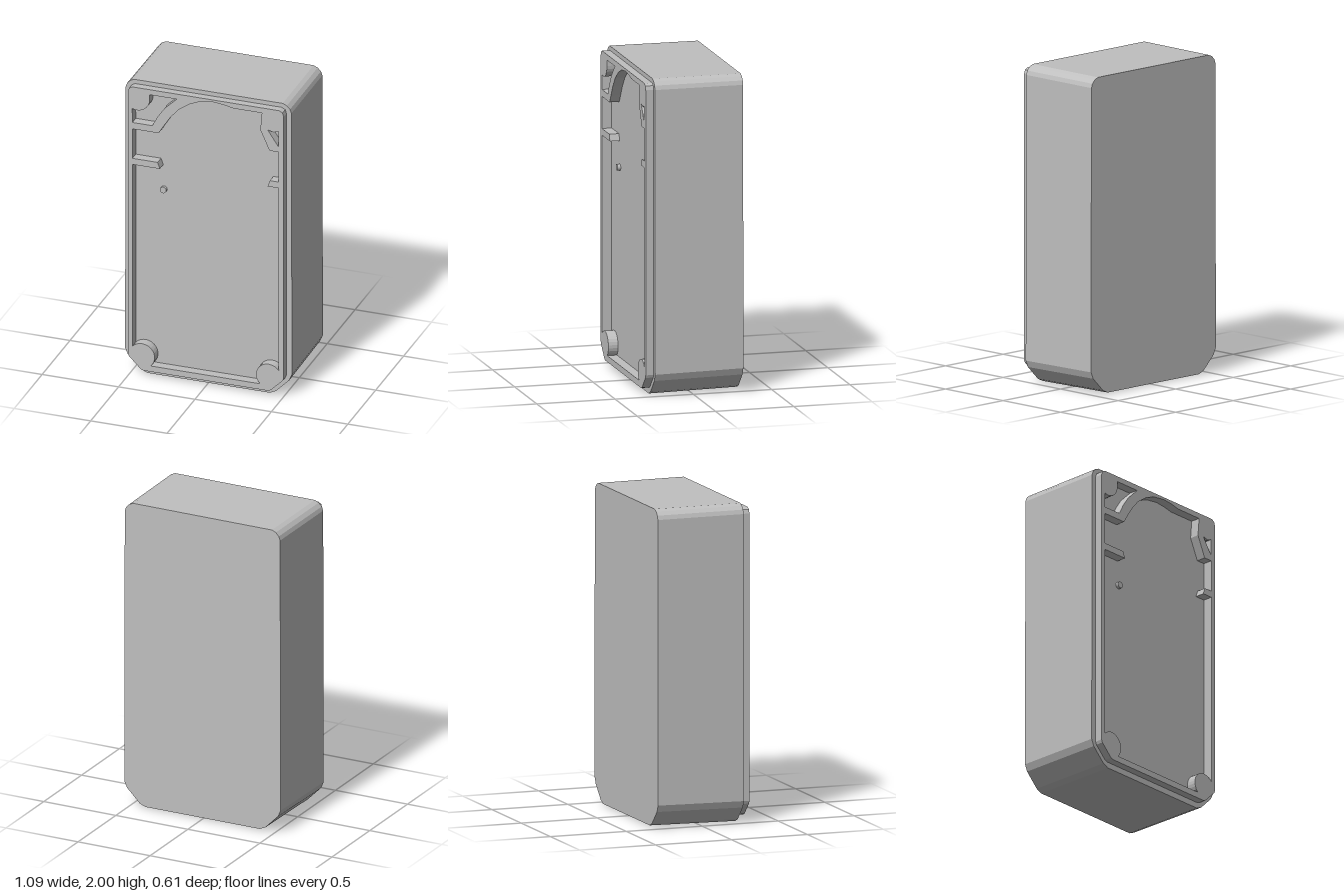
import * as THREE from 'three';

const BACK = -0.307, FLOOR = 0.245, SHOULDER = 0.257, FRONT = 0.307;
const pts = (list) => list.map(([x, y]) => new THREE.Vector2(x, y));

// Symmetric outline from the right half, listed from bottom to top
const mirrored = (half) => pts([...half, ...half.slice().reverse().map(([x, y]) => [-x, y])]);

// Points along an arc, angles in degrees
function arc(cx, cy, r, from, to, n = 10) {
  return Array.from({ length: n + 1 }, (_, i) => {
    const a = THREE.MathUtils.degToRad(from + (to - from) * i / n);
    return [cx + r * Math.cos(a), cy + r * Math.sin(a)];
  });
}

function slab(outline, holes, z0, z1) {
  const shape = new THREE.Shape(outline);
  shape.holes = holes.map((h) => new THREE.Path(h));
  const geo = new THREE.ExtrudeGeometry(shape, { depth: z1 - z0, bevelEnabled: false });
  return geo.translate(0, 0, z0);
}

export function createModel() {
  const group = new THREE.Group();
  const plastic = new THREE.MeshStandardMaterial({ color: 0xbfbfbf });
  plastic.name = 'light grey plastic';
  const add = (name, geo) => {
    const mesh = new THREE.Mesh(geo, plastic);
    mesh.name = name;
    group.add(mesh);
    return mesh;
  };

  // Outlines: chamfered lower corners, small rounded upper corners
  const outer = mirrored([
    [0.4, 0], [0.44, 0.018], [0.527, 0.105], [0.546, 0.148],
    [0.542, 1.94], [0.533, 1.966], [0.512, 1.988], [0.485, 2],
  ]);
  const lipOutline = mirrored([
    [0.405, 0.038], [0.425, 0.045], [0.503, 0.122], [0.51, 0.14],
    [0.51, 1.935], [0.502, 1.96], [0.48, 1.972],
  ]);

  // Main recess, going round the corner posts, ribs and curved top wall
  const recess = pts([
    [-0.355, 0.077], [0.355, 0.077],
    ...arc(0.412, 0.138, 0.083, 227, 35, 14), [0.477, 0.198],
    [0.477, 1.44], [0.405, 1.44], [0.42, 1.482], [0.477, 1.482],
    [0.477, 1.687], [0.417, 1.687], [0.357, 1.82], [0.367, 1.937], [0.18, 1.937],
    [0.12, 1.95], [0.05, 1.957], [-0.04, 1.945], [-0.11, 1.915], [-0.18, 1.865],
    [-0.235, 1.8], [-0.28, 1.73], [-0.308, 1.684], [-0.48, 1.684],
    [-0.48, 1.482], [-0.315, 1.482], [-0.3, 1.44], [-0.48, 1.44],
    [-0.48, 0.198], ...arc(-0.417, 0.138, 0.083, 140, -47, 14),
  ]);
  // Small pockets in the two upper corners
  const leftPocket = pts([
    [-0.48, 1.728], [-0.35, 1.728], [-0.315, 1.795], [-0.27, 1.86], [-0.19, 1.937],
    [-0.367, 1.937], ...arc(-0.45, 1.9, 0.083, 0, -112, 8),
  ]);
  const rightPocket = pts([[0.405, 1.828], [0.475, 1.724], [0.475, 1.83], [0.445, 1.817]]);
  const cavities = [recess, leftPocket, rightPocket];

  // Case body, drawn in very slightly towards the back
  const body = slab(outer, [], BACK, FLOOR);
  const p = body.attributes.position;
  for (let i = 0; i < p.count; i++) {
    if (p.getZ(i) > BACK + 0.01) continue;
    p.setX(i, p.getX(i) * 0.994);
    p.setY(i, 1.003 + (p.getY(i) - 1) * 0.995);
  }
  body.computeVertexNormals();
  add('caseBody', body);

  // Stepped front edge with the recess cut through it
  add('shoulder', slab(outer, cavities, FLOOR, SHOULDER));
  add('lipAndRibs', slab(lipOutline, cavities, SHOULDER, FRONT));

  // Small locating peg on the recess floor
  const peg = add('peg', new THREE.CylinderGeometry(0.021, 0.021, 0.02, 20));
  peg.rotation.x = Math.PI / 2;
  peg.position.set(-0.295, 1.275, FLOOR + 0.01);

  return group;
}
